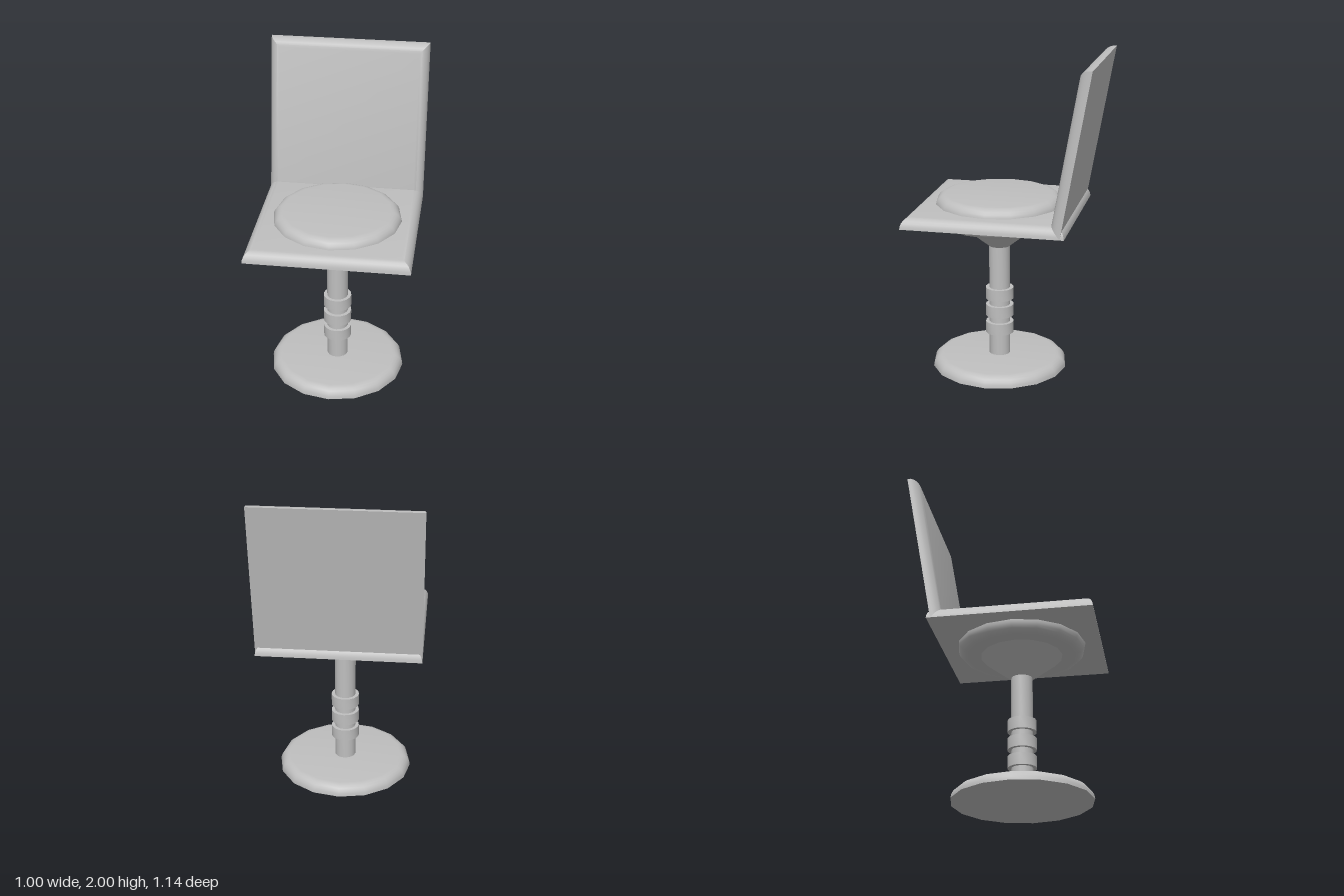
import * as THREE from 'three';
import { toCreasedNormals } from 'three/addons/utils/BufferGeometryUtils.js';

const CREASE = 0.6;
const STEPS = 6;
const quarter = Array.from({ length: STEPS + 1 }, (_, i) => (i / STEPS) * Math.PI / 2);

export function createModel() {
  const grey = new THREE.MeshStandardMaterial({ color: 0xbfbfbf });
  grey.name = 'light grey';
  const chair = new THREE.Group();
  chair.name = 'swivelChair';

  function add(name, geometry, parent = chair) {
    const mesh = new THREE.Mesh(toCreasedNormals(geometry, CREASE), grey);
    mesh.name = name;
    parent.add(mesh);
    return mesh;
  }

  // Sixteen-sided turned part; the profile runs from bottom to top
  function turned(points) {
    return new THREE.LatheGeometry(points.map(([r, y]) => new THREE.Vector2(r, y)), 16);
  }

  // Square slab: flat underside, four rounded upper edges meeting in mitres
  function slab(width, depth, height, bevel) {
    const pos = [], index = [];
    for (const a of quarter) {
      const inset = bevel * (1 - Math.cos(a));
      const x = width / 2 - inset, z = depth / 2 - inset, y = height * Math.sin(a);
      pos.push(-x, y, z, x, y, z, x, y, -z, -x, y, -z);
    }
    for (let i = 0; i < STEPS; i++) {
      for (let j = 0; j < 4; j++) {
        const a = i * 4 + j, b = i * 4 + (j + 1) % 4;
        index.push(a, b, b + 4, a, b + 4, a + 4);
      }
    }
    const t = STEPS * 4;
    index.push(t, t + 1, t + 2, t, t + 2, t + 3, 0, 2, 1, 0, 3, 2);
    const g = new THREE.BufferGeometry();
    g.setAttribute('position', new THREE.Float32BufferAttribute(pos, 3));
    g.setIndex(index);
    return g;
  }

  // Seat plate
  add('seat', slab(1, 0.995, 0.07, 0.06)).position.set(0, 1.01, 0.075);

  // Backrest: the same slab stood up, rounded side forward, leaning back
  const lean = THREE.MathUtils.degToRad(10);
  const back = add('backrest', slab(1, 1, 0.07, 0.06));
  back.rotation.x = Math.PI / 2 - lean;
  back.position.set(0, 2 - 0.5 * Math.cos(lean), -0.572 + 0.5 * Math.sin(lean));

  // Everything round shares the pedestal axis
  const pedestal = new THREE.Group();
  pedestal.name = 'pedestal';
  pedestal.position.set(0.004, 0, 0.074);
  chair.add(pedestal);

  // Round cushion, bulging above and below the seat plate
  const lower = quarter.map(a => [0.335 + 0.065 * Math.sin(a), 1.01 - 0.067 * Math.cos(a)]);
  const upper = quarter.map(a => [0.335 + 0.065 * Math.cos(a), 1.068 + 0.067 * Math.sin(a)]);
  add('cushion', turned([[0, 0.943], ...lower, ...upper, [0, 1.135]]), pedestal);

  // Cone under the cushion
  add('seatCone', turned([[0, 0.795], [0.07, 0.795], [0.258, 0.945], [0, 0.945]]), pedestal);

  // Column and its three collars
  add('column', turned([[0, 0.04], [0.067, 0.04], [0.067, 0.8], [0, 0.8]]), pedestal);
  for (const y of [0.21, 0.325, 0.44]) {
    add('collar', turned([[0.06, y], [0.089, y], [0.089, y + 0.075], [0.06, y + 0.075]]), pedestal);
  }

  // Foot disc with rounded upper rim
  const rim = quarter.map(a => [0.365 + 0.065 * Math.cos(a), 0.068 * Math.sin(a)]);
  add('footDisc', turned([[0, 0], ...rim, [0, 0.068]]), pedestal);

  return chair;
}
